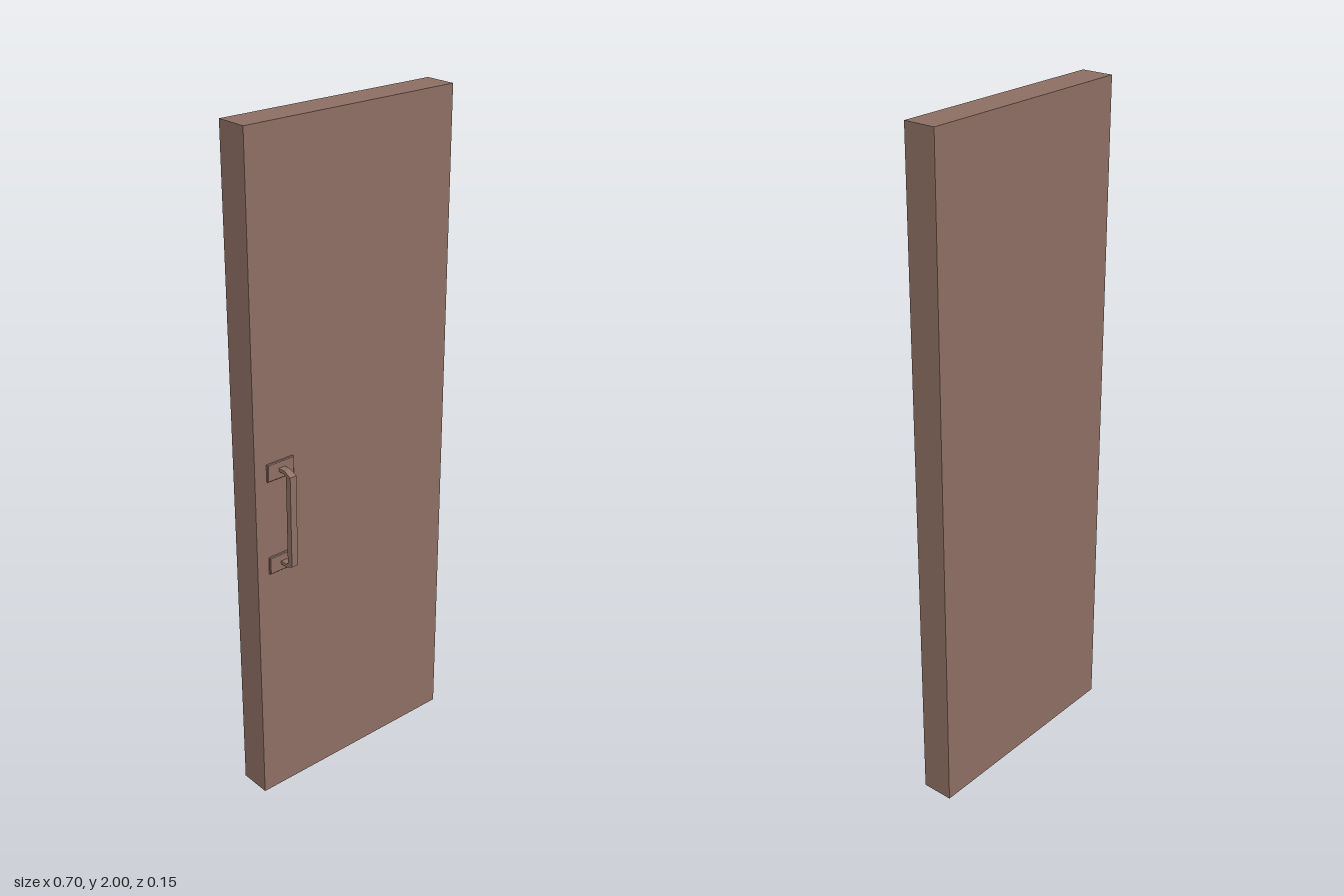
import * as THREE from 'three';

export function createModel() {
  const group = new THREE.Group();
  const brown = new THREE.MeshStandardMaterial({ color: 0x8d6e63 });
  brown.name = 'brown';

  const add = (name, geometry, x, y, z) => {
    const mesh = new THREE.Mesh(geometry, brown);
    mesh.name = name;
    mesh.position.set(x, y, z);
    group.add(mesh);
  };

  // Door slab
  add('doorPanel', new THREE.BoxGeometry(0.696, 2, 0.096), 0, 1, -0.028);

  const handleX = -0.261, handleY = 0.915;

  // Mounting plates, with slightly bevelled rims
  const plateW = 0.045, plateH = 0.026;
  const plate = new THREE.Shape([
    [-plateW, -plateH], [plateW, -plateH], [plateW, plateH], [-plateW, plateH],
  ].map(([x, y]) => new THREE.Vector2(x, y)));
  const plateGeometry = new THREE.ExtrudeGeometry(plate, {
    depth: 0.005, bevelEnabled: true, bevelThickness: 0.002, bevelSize: 0.002, bevelOffset: -0.002, bevelSegments: 1,
  });
  for (const [name, side] of [['upperPlate', 1], ['lowerPlate', -1]]) {
    add(name, plateGeometry, handleX - 0.003, handleY + side * 0.144, 0.02);
  }

  // Pull handle: a chamfered bracket profile (z, y), mirrored top to bottom
  const outer = [[0.025, 0.15], [0.052, 0.15], [0.075, 0.139]];
  const inner = [[0.057, 0.134], [0.05, 0.14], [0.025, 0.14]];
  const flip = (points) => points.map(([z, y]) => [z, -y]).reverse();
  const profile = [...outer, ...flip(outer), ...flip(inner), ...inner];
  const bracket = new THREE.Shape(profile.map(([z, y]) => new THREE.Vector2(z, y)));
  const width = 0.021;
  const handle = new THREE.ExtrudeGeometry(bracket, { depth: width, bevelEnabled: false });
  handle.rotateY(-Math.PI / 2).translate(width / 2, 0, 0);
  add('pullHandle', handle, handleX, handleY, 0);

  return group;
}
